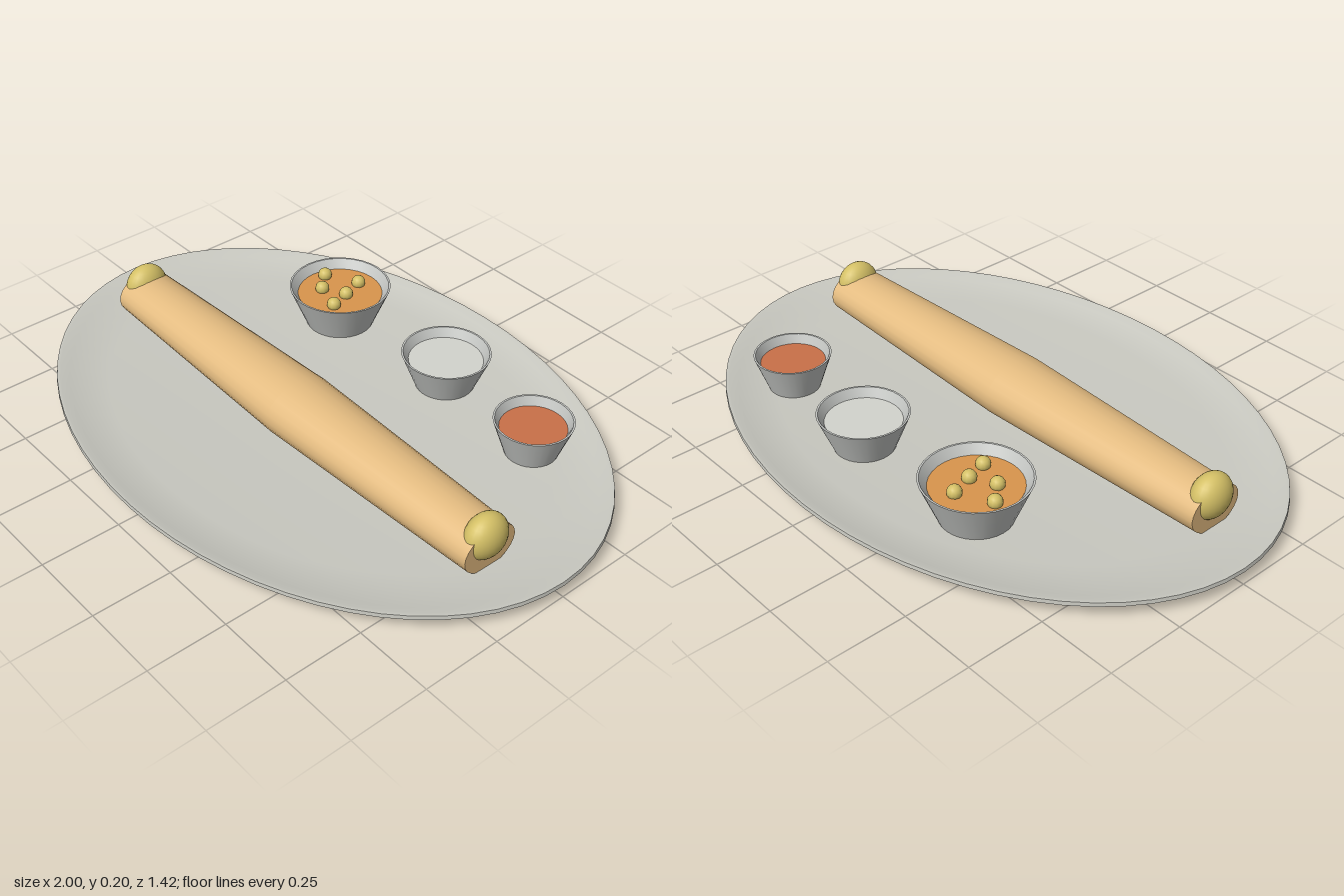
import * as THREE from 'three';
import { toCreasedNormals } from 'three/addons/utils/BufferGeometryUtils.js';

const material = (name, color) => {
  const m = new THREE.MeshStandardMaterial({ color });
  m.name = name;
  return m;
};

// Turned solid from [radius, height] pairs, with sharp edges kept
function turned(points, segments) {
  const profile = points.map(([r, y]) => new THREE.Vector2(r, y));
  return toCreasedNormals(new THREE.LatheGeometry(profile, segments), 0.5);
}

export function createModel() {
  const group = new THREE.Group();
  const plateSteel = material('plateSteel', 0xc8c8c0);
  const bowlSteel = material('bowlSteel', 0xc2c4c1);
  const crepe = material('crepe', 0xe3bb80);
  const butter = material('butter', 0xd4c066);
  const stew = material('stew', 0xd9954c);
  const relish = material('relish', 0xc87048);
  const cream = material('cream', 0xd2d3cd);

  const add = (name, geometry, mat, x = 0, y = 0, z = 0, parent = group) => {
    const mesh = new THREE.Mesh(geometry, mat);
    mesh.name = name;
    mesh.position.set(x, y, z);
    parent.add(mesh);
    return mesh;
  };

  // Oval plate with a raised rim
  const plate = turned([[0, 0], [0.86, 0], [1, 0.042], [0.998, 0.054], [0.985, 0.054],
    [0.95, 0.042], [0.8, 0.032], [0, 0.03]], 64);
  plate.scale(1, 1, 0.71);
  add('plate', plate, plateSteel);

  // Rolled crepe, thickest in the middle
  const roll = turned([[0, -0.81], [0.095, -0.81], [0.122, 0], [0.095, 0.81], [0, 0.81]], 24);
  roll.rotateZ(-Math.PI / 2);
  roll.scale(1, 0.75, 1);
  add('rolledCrepe', roll, crepe, 0, 0.095, 0.093);

  // Butter knob on each end
  for (const side of [-1, 1]) {
    const knob = add(side > 0 ? 'leftKnob' : 'rightKnob',
      new THREE.SphereGeometry(1, 24, 16), butter, side * 0.79, 0.13, 0.093);
    knob.scale.set(0.052, 0.072, 0.072);
  }

  // Bowls with fillings
  const floor = 0.028;
  const bowls = [
    ['stewBowl', -0.335, -0.36, 0.165, 0.137, stew],
    ['creamBowl', 0.14, -0.385, 0.14, 0.119, cream],
    ['relishBowl', 0.545, -0.35, 0.121, 0.118, relish],
  ];
  for (const [name, x, z, r, h, filling] of bowls) {
    const bowl = new THREE.Group();
    bowl.name = name;
    bowl.position.set(x, floor, z);
    group.add(bowl);
    const level = h - 0.028;
    add('bowlWall', turned([[0, 0], [r * 0.66, 0], [r, h], [r - 0.006, h],
      [r * 0.83, level - 0.003], [0, level - 0.01]], 32), bowlSteel, 0, 0, 0, bowl);
    const surface = new THREE.CircleGeometry(r * 0.835, 32);
    surface.rotateX(-Math.PI / 2);
    add('filling', surface, filling, 0, level, 0, bowl);
  }

  // Small beads floating on the stew
  const beads = [[-0.33, -0.435], [-0.435, -0.38], [-0.305, -0.36], [-0.38, -0.322], [-0.284, -0.29]];
  for (const [x, z] of beads) {
    add('bead', new THREE.SphereGeometry(0.023, 12, 8), butter, x, 0.147, z);
  }
  return group;
}
